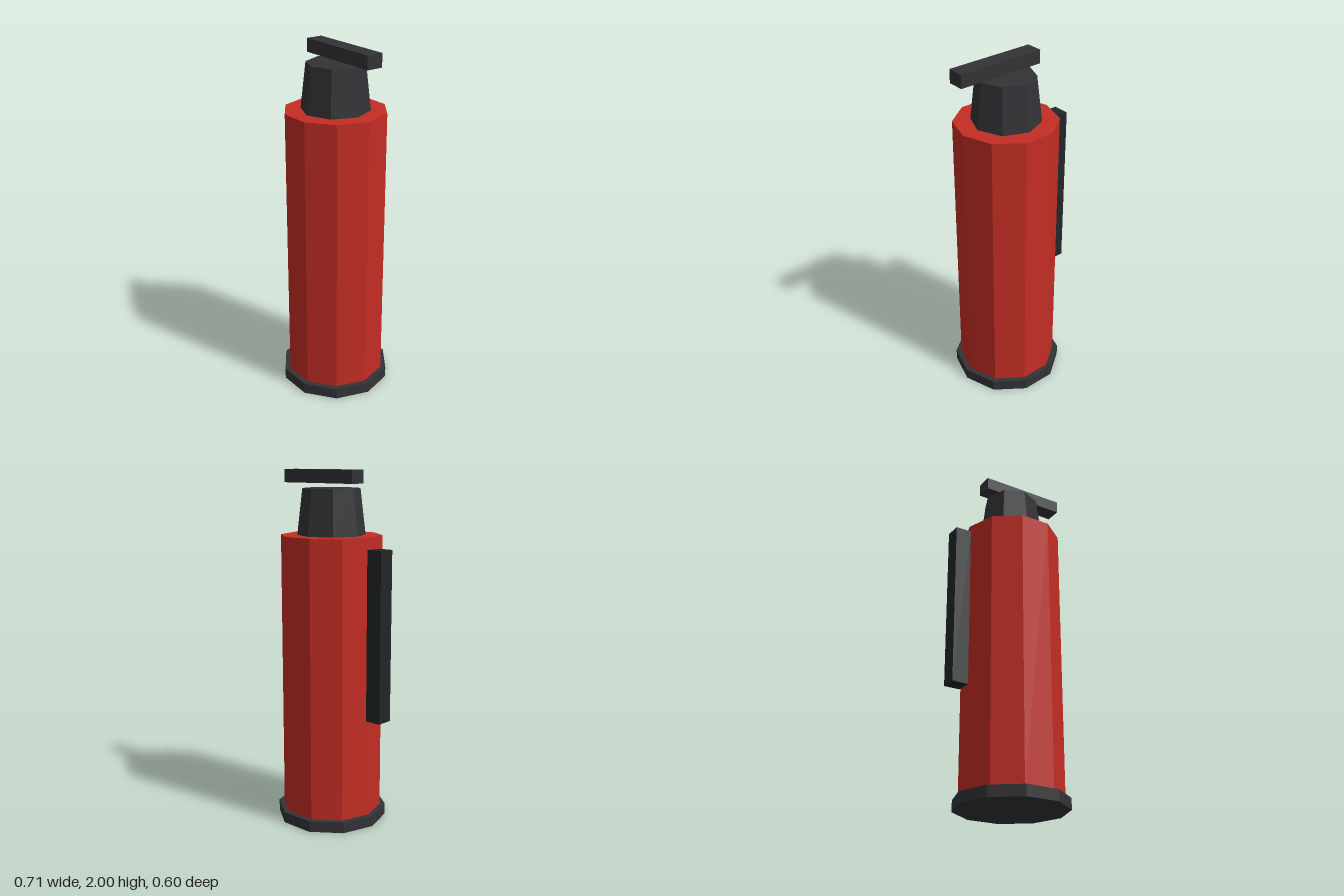
import * as THREE from 'three';

const AXIS_X = 0.037; // the cylinder stands slightly off centre to balance the hose

export function createModel() {
  const model = new THREE.Group();
  const paint = (color) => new THREE.MeshStandardMaterial({ color, flatShading: true });
  const red = paint(0xc42d24);
  const dark = paint(0x333337);
  const rubber = paint(0x222627);

  const add = (name, geometry, material, x, y) => {
    const mesh = new THREE.Mesh(geometry, material);
    mesh.name = name;
    mesh.position.set(x, y, 0);
    model.add(mesh);
  };

  // Faceted upright part between two heights, with a corner pointing along x
  const prism = (name, rTop, rBottom, y0, y1, sides, material) =>
    add(name, new THREE.CylinderGeometry(rTop, rBottom, y1 - y0, sides, 1, false, Math.PI / 2),
      material, AXIS_X, (y0 + y1) / 2);

  // Box given by its x and y ranges, centred in z
  const bar = (name, x0, x1, y0, y1, depth, material) =>
    add(name, new THREE.BoxGeometry(x1 - x0, y1 - y0, depth), material, (x0 + x1) / 2, (y0 + y1) / 2);

  prism('base', 0.315, 0.315, 0, 0.063, 10, dark);
  prism('tank', 0.284, 0.284, 0.063, 1.645, 10, red);
  prism('neck', 0.16, 0.19, 1.645, 1.9, 8, dark);
  bar('handle', -0.152, 0.354, 1.926, 2, 0.094, dark);
  bar('hose', -0.356, -0.262, 0.635, 1.584, 0.094, rubber);

  return model;
}
